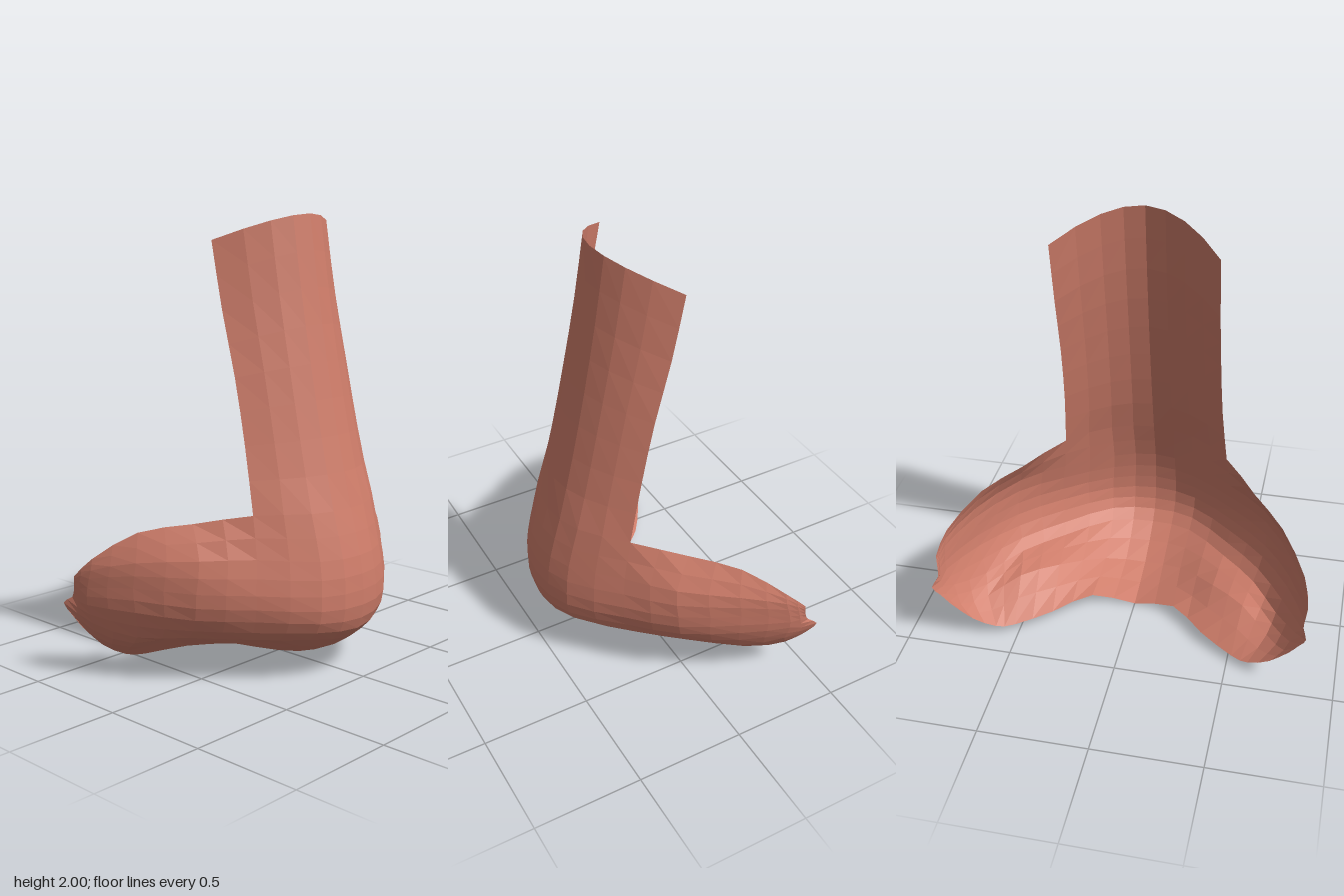
import * as THREE from 'three';

const V = (p) => new THREE.Vector3(p[0], p[1], p[2]);

// Key columns of the left half, centre line to outer edge.
// Each runs from the top edge over the bulge and under to the back rim: x, y, z.
const COLUMNS = [
  [[0, .75, .42], [0, .55, .475], [0, .4, .495], [0, .27, .485], [0, .17, .42], [0, .06, .22], [0, .005, -.04]],
  [[.2, .75, .37], [.2, .55, .42], [.21, .4, .44], [.21, .28, .43], [.2, .19, .36], [.19, .1, .16], [.2, .065, -.09]],
  [[.39, .75, .21], [.41, .57, .25], [.43, .42, .265], [.42, .3, .25], [.4, .2, .18], [.38, .17, -.02], [.36, .06, -.24]],
  [[.55, .71, .01], [.59, .57, .09], [.61, .43, .09], [.6, .31, .07], [.57, .21, 0], [.54, .18, -.15], [.52, .04, -.345]],
  [[.7, .67, -.17], [.74, .55, -.14], [.75, .44, -.15], [.74, .33, -.15], [.7, .2, -.19], [.67, .13, -.27], [.6, .05, -.385]],
  [[.82, .55, -.33], [.83, .5, -.33], [.835, .42, -.35], [.83, .34, -.36], [.8, .25, -.36], [.76, .17, -.4], [.7, .11, -.42]],
  [[.85, .46, -.42], [.85, .44, -.42], [.845, .4, -.43], [.84, .36, -.45], [.857, .33, -.49], [.83, .27, -.465], [.79, .21, -.45]],
];
const STEPS = 2; // facets between neighbouring keys

// Even samples along a smooth curve through the key points
function smooth(keys, steps) {
  return new THREE.CatmullRomCurve3(keys, false, 'catmullrom', 0.5).getPoints((keys.length - 1) * steps);
}

// Open sheet from rows of points, listed top to bottom and right to left side
function sheet(rows, material, name) {
  const pos = [], index = [], n = rows[0].length;
  rows.forEach((row) => row.forEach((p) => pos.push(p.x, p.y, p.z)));
  for (let i = 0; i < rows.length - 1; i++) {
    for (let j = 0; j < n - 1; j++) {
      const a = i * n + j, b = a + n;
      index.push(a, b, b + 1, a, b + 1, a + 1);
    }
  }
  const geometry = new THREE.BufferGeometry();
  geometry.setAttribute('position', new THREE.Float32BufferAttribute(pos, 3));
  geometry.setIndex(index);
  geometry.computeVertexNormals();
  const mesh = new THREE.Mesh(geometry, material);
  mesh.name = name;
  return mesh;
}

export function createModel() {
  const skin = new THREE.MeshStandardMaterial({ color: 0xcf7d6a, flatShading: true, side: THREE.DoubleSide });
  skin.name = 'skin';
  const group = new THREE.Group();
  group.name = 'nose';

  // Tip, wings and nostril hollows: mirror the columns, then smooth both ways
  const mirrored = COLUMNS.slice(1).reverse().map((c) => c.map(([x, y, z]) => [-x, y, z]));
  const down = [...mirrored, ...COLUMNS].map((c) => smooth(c.map(V), STEPS));
  const tipRows = down[0].map((_, i) => smooth(down.map((c) => c[i]), STEPS));
  group.add(sheet(tipRows, skin, 'tipAndWings'));

  // Bridge: curved strip rising from the middle of the tip's top row
  const mid = (tipRows[0].length - 1) / 2, half = 2 * STEPS;
  const base = tipRows[0].slice(mid - half, mid + half + 1);
  const centre = smooth([[0, .75, .42], [0, 1.06, .345], [0, 1.375, .28], [0, 1.69, .225], [0, 2, .18]].map(V), 2);
  const edge = smooth([[.39, .75, .21], [.37, 1.035, .145], [.362, 1.32, .08], [.36, 1.6, .005], [.36, 1.89, -.055]].map(V), 2);
  const bridgeRows = centre.map((c, i) => {
    if (i === 0) return base;
    return base.map((_, j) => {
      const t = j / half - 1, bend = Math.pow(Math.abs(t), 1.9);
      return new THREE.Vector3(
        edge[i].x * t,
        THREE.MathUtils.lerp(c.y, edge[i].y, bend),
        THREE.MathUtils.lerp(c.z, edge[i].z, bend)
      );
    });
  }).reverse();
  group.add(sheet(bridgeRows, skin, 'bridge'));

  return group;
}
